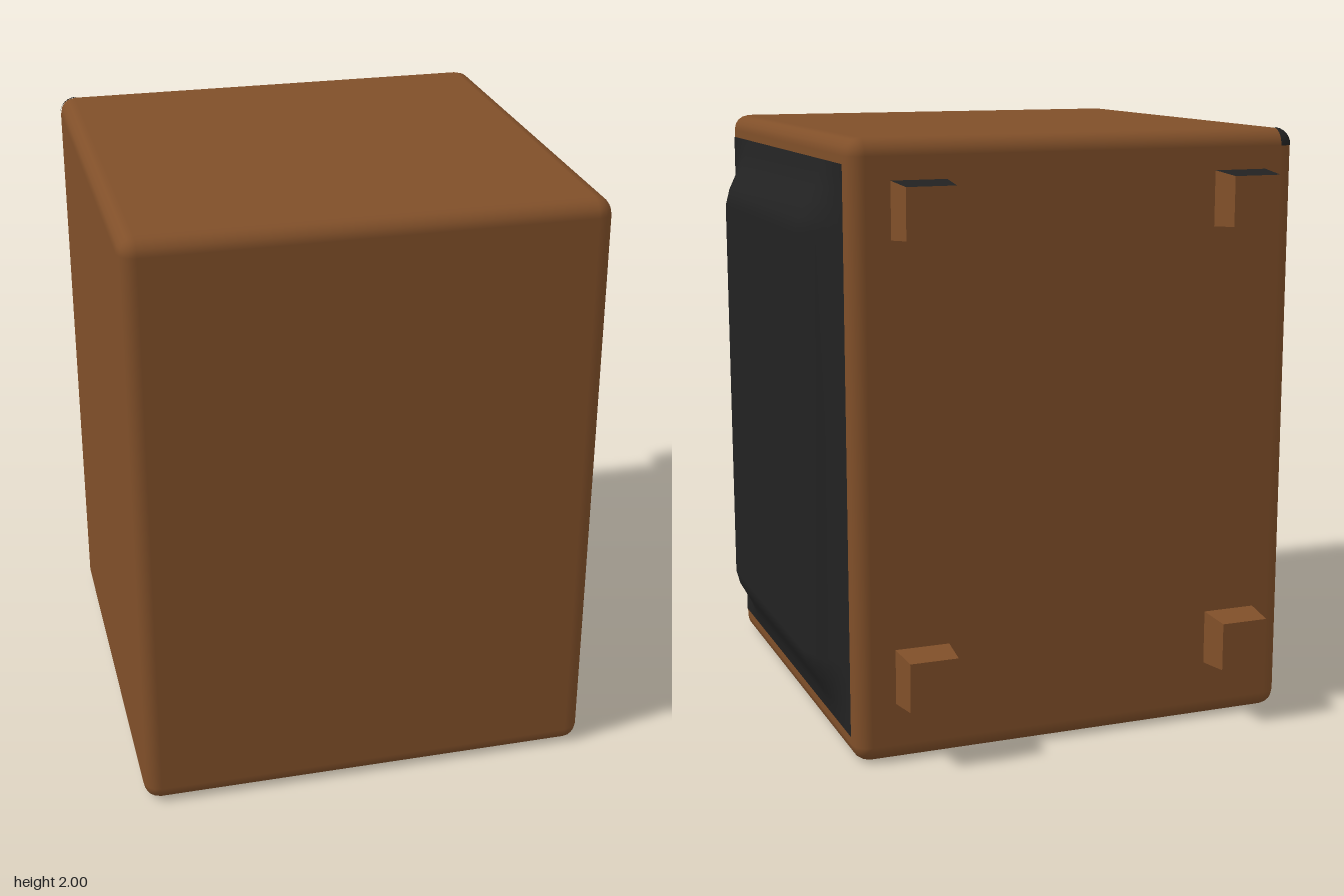
import * as THREE from 'three';
import { RoundedBoxGeometry } from 'three/addons/geometries/RoundedBoxGeometry.js';

const brown = new THREE.MeshStandardMaterial({ color: 0x804f29 });
const black = new THREE.MeshStandardMaterial({ color: 0x222222 });

function add(parent, name, geometry, material, x, y, z) {
  const mesh = new THREE.Mesh(geometry, material);
  mesh.name = name;
  mesh.position.set(x, y, z);
  parent.add(mesh);
  return mesh;
}

// Grille: a sheet that swells from its rim to a flat middle, facing +x
function grilleGeometry(height, depth) {
  const inset = [0, 0.045, 0.085, 0.13, 0.18, 0.23];
  const rise = [0, 0.11, 0.28, 0.55, 0.85, 1];
  const n = inset.length, last = 2 * n - 1;
  const geo = new THREE.PlaneGeometry(1, 1, last, last);
  const pos = geo.attributes.position;
  const at = (i, size) => (i < n ? inset[i] - size / 2 : size / 2 - inset[last - i]);
  const lift = (i) => rise[Math.min(i, last - i)];
  for (let k = 0; k < pos.count; k++) {
    const i = k % (last + 1), j = Math.floor(k / (last + 1));
    pos.setXYZ(k, at(i, depth), -at(j, height), 0.092 * lift(i) * lift(j));
  }
  geo.computeVertexNormals();
  return geo.rotateY(Math.PI / 2);
}

// Foot: a block that narrows slightly towards -z
function footGeometry() {
  const geo = new THREE.BoxGeometry(0.184, 0.184, 0.13);
  const pos = geo.attributes.position;
  for (let k = 0; k < pos.count; k++) {
    if (pos.getZ(k) < 0) pos.setXY(k, pos.getX(k) * 0.88, pos.getY(k) * 0.88);
  }
  geo.computeVertexNormals();
  return geo;
}

export function createModel() {
  const group = new THREE.Group();
  group.name = 'speakerCabinet';

  // Cabinet with softened edges
  const r = 0.055;
  add(group, 'cabinet', new RoundedBoxGeometry(1.53, 2, 1.53, 2, r), brown, -0.045, 1, 0.055);

  // Bulging grille on the left side
  add(group, 'grille', grilleGeometry(1.84, 1.42), black, 0.721, 1, 0.06);

  // Dark cap on one upper back corner
  const cap = new THREE.SphereGeometry(r + 0.002, 8, 8, 1.5 * Math.PI, Math.PI / 2, 0, Math.PI / 2);
  add(group, 'cornerCap', cap, black, -0.81 + r, 2 - r, -0.71 + r);

  // Four feet on the back, the upper pair with dark tops
  const foot = footGeometry();
  const darkTop = [brown, brown, black, brown, brown, brown];
  for (const x of [-0.608, 0.495]) {
    add(group, 'upperFoot', foot, darkTop, x, 1.78, -0.763);
    add(group, 'lowerFoot', foot, brown, x, 0.287, -0.763);
  }
  return group;
}
